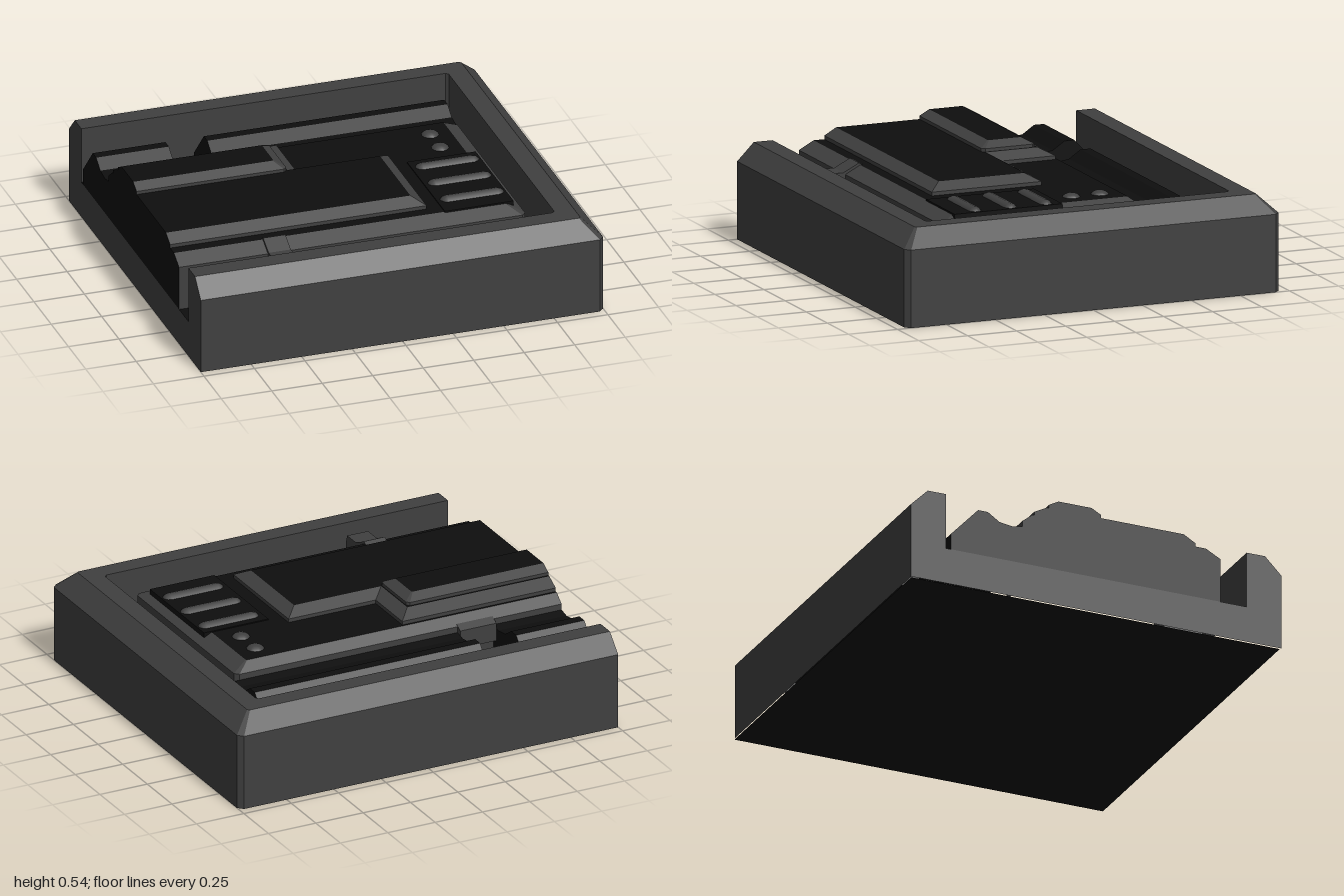
import * as THREE from 'three';

const grey = new THREE.MeshStandardMaterial({ color: 0x404040 });
grey.name = 'charcoal grey';
const dark = new THREE.MeshStandardMaterial({ color: 0x0e0e0e });
dark.name = 'near black';

// Outline in (x, z), cut off square at x = -1, with chamfered right corners
const outline = (x, z0, z1, c = 0.005) => [
  [-1, z0], [x - c, z0], [x, z0 + c], [x, z1 - c], [x - c, z1], [-1, z1],
];

// Joins stacked outlines [points, y] into a block: grey sides, dark top and cut end
function loft(name, rings, openEnd = false) {
  const sides = [], darkFaces = [];
  const at = (ring, i) => {
    const [x, z] = ring[0][i % ring[0].length];
    return [x, ring[1], z];
  };
  const n = rings[0][0].length;
  for (let r = 0; r < rings.length - 1; r++) {
    for (let i = 0; i < n; i++) {
      const isEnd = i === n - 1;
      if (isEnd && openEnd) continue;
      const a = at(rings[r], i), b = at(rings[r], i + 1);
      const c = at(rings[r + 1], i + 1), d = at(rings[r + 1], i);
      (isEnd ? darkFaces : sides).push(...a, ...d, ...c, ...a, ...c, ...b);
    }
  }
  const last = rings[rings.length - 1];
  const flat = last[0].map(([x, z]) => new THREE.Vector2(x, z));
  for (const [i, j, k] of THREE.ShapeUtils.triangulateShape(flat, [])) {
    const up = flat[j].clone().sub(flat[i]).cross(flat[k].clone().sub(flat[i])) < 0;
    for (const v of up ? [i, j, k] : [i, k, j]) darkFaces.push(...at(last, v));
  }
  const geo = new THREE.BufferGeometry();
  geo.setAttribute('position', new THREE.Float32BufferAttribute([...sides, ...darkFaces], 3));
  geo.addGroup(0, sides.length / 3, 0);
  geo.addGroup(sides.length / 3, darkFaces.length / 3, 1);
  geo.computeVertexNormals();
  const mesh = new THREE.Mesh(geo, [grey, dark]);
  mesh.name = name;
  return mesh;
}

// Cross-section in (z, y) swept from x0 to x1
function prism(name, points, x0, x1, material) {
  const shape = new THREE.Shape(points.map(([z, y]) => new THREE.Vector2(-z, y)));
  const geo = new THREE.ExtrudeGeometry(shape, { depth: x1 - x0, bevelEnabled: false });
  geo.rotateY(Math.PI / 2).translate(x0, 0, 0);
  const mesh = new THREE.Mesh(geo, material);
  mesh.name = name;
  return mesh;
}

function solid(name, geo, material, x, y, z) {
  const mesh = new THREE.Mesh(geo, material);
  mesh.name = name;
  mesh.position.set(x, y, z);
  return mesh;
}

export function createModel() {
  const model = new THREE.Group();
  model.name = 'consolePanel';
  const floor = 0.18;

  // Tray: chamfered outer wall, sloped edge, flat rim, inner wall and floor
  model.add(loft('tray', [
    [outline(1, -0.955, 0.955, 0.025), 0],
    [outline(1, -0.955, 0.955, 0.025), 0.375],
    [outline(0.91, -0.87, 0.87, 0.01), 0.46],
    [outline(0.815, -0.775, 0.775, 0.012), 0.46],
    [outline(0.815, -0.775, 0.775, 0.012), floor],
  ], true));

  // Cut end of the tray
  const half = [[0.775, floor], [0.775, 0.46], [0.87, 0.46], [0.955, 0.375], [0.955, 0]];
  const section = [...half, ...half.map(([z, y]) => [-z, y]).reverse()];
  const endGeo = new THREE.ShapeGeometry(
    new THREE.Shape(section.map(([z, y]) => new THREE.Vector2(z, y))));
  endGeo.rotateY(-Math.PI / 2);
  model.add(solid('trayEnd', endGeo, grey, -1, 0, 0));

  // Underside
  const under = new THREE.PlaneGeometry(1.98, 1.9);
  under.rotateX(Math.PI / 2);
  model.add(solid('underside', under, dark, 0, 0, 0));

  // Main board with bevelled edges
  model.add(loft('board', [
    [outline(0.72, -0.38, 0.64, 0.02), floor],
    [outline(0.72, -0.38, 0.64, 0.02), 0.4],
    [outline(0.64, -0.33, 0.565), 0.44],
  ]));

  // Raised L-shaped plate
  const base = [[-1, -0.32], [-0.19, -0.32], [-0.19, -0.05], [0.27, -0.05], [0.27, 0.51], [-1, 0.51]];
  const top = [[-1, -0.255], [-0.25, -0.255], [-0.25, 0.01], [0.21, 0.01], [0.21, 0.45], [-1, 0.45]];
  model.add(loft('steppedPlate', [[base, 0.435], [base, 0.458], [top, 0.492]]));

  // Bar on top of the plate
  model.add(loft('topBar', [
    [outline(-0.255, -0.245, 0.025, 0.015), 0.48],
    [outline(-0.255, -0.245, 0.025, 0.015), 0.508],
    [outline(-0.305, -0.195, -0.025), 0.535],
  ]));

  // Rear bars in the trench and the tab between them
  const barSection = [
    [-0.38, floor], [-0.38, 0.37], [-0.43, 0.36], [-0.5, 0.37],
    [-0.56, 0.41], [-0.61, 0.41], [-0.75, 0.26], [-0.75, floor],
  ];
  for (const [x0, x1] of [[-1, -0.64], [-0.45, 0.74]]) {
    model.add(prism('rearBar', barSection, x0, x1, dark));
  }
  model.add(prism('rearTab',
    [[-0.37, 0.3], [-0.37, 0.41], [-0.41, 0.39], [-0.41, 0.3]], -0.64, -0.45, grey));

  // Button panel with three long keys
  model.add(solid('buttonPanel', new THREE.BoxGeometry(0.34, 0.04, 0.55), dark, 0.51, 0.425, 0.295));
  for (const z of [0.09, 0.27, 0.45]) {
    const key = new THREE.CapsuleGeometry(0.038, 0.25, 3, 12);
    key.rotateZ(Math.PI / 2);
    model.add(solid('longKey', key, grey, 0.515, 0.425, z));
  }

  // Round buttons
  for (const z of [-0.23, -0.085]) {
    const button = new THREE.SphereGeometry(0.045, 12, 8);
    button.scale(1, 0.6, 1);
    model.add(solid('roundButton', button, grey, 0.54, 0.432, z));
  }

  // Front latch
  model.add(prism('latch', [
    [0.55, floor], [0.55, 0.44], [0.57, 0.45], [0.65, 0.41], [0.74, 0.41], [0.75, 0.38], [0.75, floor],
  ], -0.56, -0.45, grey));

  return model;
}
